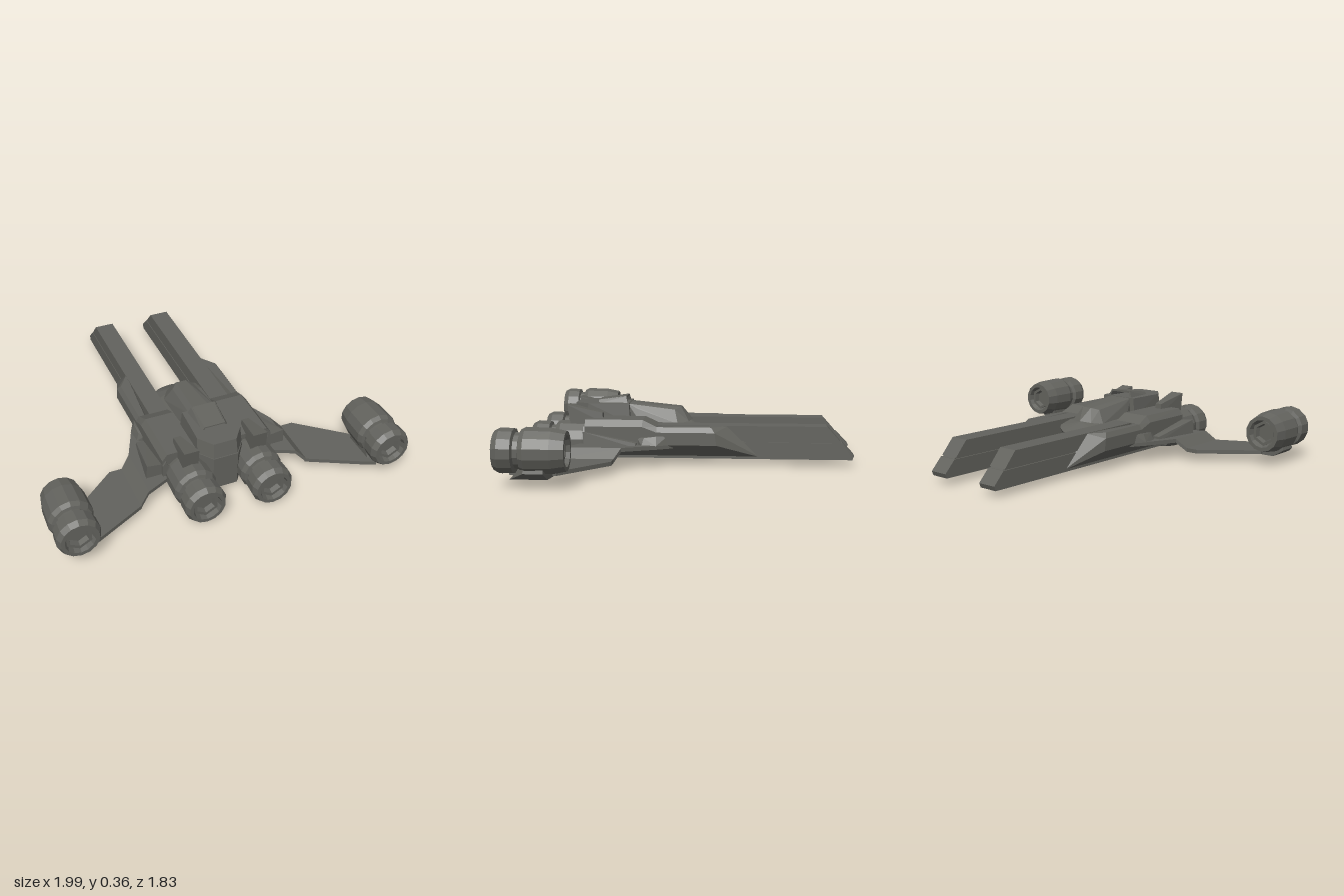
import * as THREE from 'three';
import { ConvexGeometry } from 'three/addons/geometries/ConvexGeometry.js';

const hullGrey = new THREE.MeshStandardMaterial({ color: 0x62625d, flatShading: true });
hullGrey.name = 'hull grey';

// Faceted solid around a few corner points; side = -1 mirrors it across x.
function solid(parent, name, points, side = 1) {
  const pts = points.map(([x, y, z]) => new THREE.Vector3(x * side, y, z));
  const mesh = new THREE.Mesh(new ConvexGeometry(pts), hullGrey);
  mesh.name = name;
  parent.add(mesh);
}

// Adds the mirrored twin of every point across the centre line.
const both = (points) => points.flatMap(([x, y, z]) => [[x, y, z], [-x, y, z]]);

// Side profile [z, y] spread between two x positions.
const slab = (x0, x1, profile) => profile.flatMap(([z, y]) => [[x0, y, z], [x1, y, z]]);

// Plan outline [x, z, top y] given a constant thickness.
const plate = (outline, t = 0.022) => outline.flatMap(([x, z, y]) => [[x, y, z], [x, y - t, z]]);

// Engine body with hexagonal recesses at both ends, running along +z.
function engine(name, x, y, z) {
  const g = new THREE.Group();
  g.name = name;
  const profile = [
    [0, 0.05], [0.062, 0.05], [0.08, 0], [0.102, 0], [0.116, 0.07], [0.12, 0.2],
    [0.108, 0.225], [0.092, 0.23], [0.092, 0.255], [0.113, 0.262], [0.116, 0.33],
    [0.1, 0.36], [0.08, 0.36], [0.068, 0.31], [0, 0.31],
  ].map(([r, h]) => new THREE.Vector2(r, h));
  const body = new THREE.Mesh(new THREE.LatheGeometry(profile, 14), hullGrey);
  body.name = 'engineBody';
  body.rotation.x = Math.PI / 2;
  g.add(body);
  // Hexagonal nozzle and intake liners
  for (const [label, a, b] of [['intakeLiner', 0.052, 0.022], ['nozzleLiner', 0.308, 0.338]]) {
    const rim = [[0.072, a], [0.074, b], [0.056, b], [0.048, a]].map(([r, h]) => new THREE.Vector2(r, h));
    if (b < a) rim.reverse();
    const liner = new THREE.Mesh(new THREE.LatheGeometry(rim, 6), hullGrey);
    liner.name = label;
    liner.rotation.x = Math.PI / 2;
    g.add(liner);
  }
  g.position.set(x, y, z);
  return g;
}

export function createModel() {
  const ship = new THREE.Group();
  ship.name = 'starfighter';

  // Central fuselage, nose towards -z
  solid(ship, 'fuselage', both([
    [0, 0.17, -0.11], [0.06, 0.18, -0.09], [0.1, 0.19, -0.065], [0.13, 0.2, -0.03],
    [0.13, 0.22, 0.05], [0, 0.23, 0], [0.06, 0.06, -0.03], [0.13, 0.06, 0.03], [0.12, 0.045, 0.2],
    [0.13, 0.25, 0.6], [0.07, 0.25, 0.68], [0.13, 0.045, 0.6], [0.07, 0.045, 0.68],
  ]));
  solid(ship, 'rearDeck', both([
    [0.115, 0.335, 0.35], [0.125, 0.335, 0.58], [0.065, 0.335, 0.66],
    [0.125, 0.22, 0.34], [0.13, 0.22, 0.6], [0.07, 0.22, 0.68],
  ]));
  solid(ship, 'bellyPlate', both([
    [0.06, 0.035, 0.23], [0.12, 0.035, 0.3], [0.12, 0.035, 0.58], [0.065, 0.035, 0.66],
    [0.07, 0.06, 0.22], [0.13, 0.06, 0.3], [0.13, 0.06, 0.58], [0.07, 0.06, 0.68],
  ]));

  // Canopy
  solid(ship, 'canopy', both([
    [0, 0.235, -0.01], [0.07, 0.23, 0.01], [0.112, 0.22, 0.07], [0.115, 0.22, 0.28],
    [0.09, 0.22, 0.36], [0.03, 0.308, 0.055], [0.065, 0.295, 0.09], [0.045, 0.335, 0.34],
    [0.09, 0.3, 0.3], [0.08, 0.33, 0.36],
  ]));

  // Open dorsal scoop: a raised roof on two cheeks
  solid(ship, 'scoopRoof', both([
    [0.065, 0.372, 0.37], [0.055, 0.35, 0.53], [0.07, 0.36, 0.37], [0.06, 0.343, 0.53],
  ]));

  for (const s of [1, -1]) {
    const half = new THREE.Group();
    half.name = s > 0 ? 'leftHalf' : 'rightHalf';
    ship.add(half);
    solid(half, 'scoopCheek', [
      [0.09, 0.33, 0.36], [0.075, 0.33, 0.36], [0.07, 0.37, 0.37], [0.06, 0.37, 0.37],
      [0.075, 0.33, 0.53], [0.062, 0.33, 0.53], [0.06, 0.35, 0.53], [0.052, 0.35, 0.53],
    ], s);

    // Long forward prong: two rails around a recessed core
    solid(half, 'prongUpperRail', slab(0.13, 0.24, [
      [-0.77, 0.23], [-0.81, 0.185], [-0.845, 0.145], [0.55, 0.145], [0.55, 0.23],
    ]), s);
    solid(half, 'prongCore', slab(0.138, 0.232, [
      [-0.84, 0.15], [-0.855, 0.13], [0.55, 0.15], [0.55, 0.13],
    ]), s);
    solid(half, 'prongLowerRail', slab(0.13, 0.24, [
      [-0.855, 0.138], [-0.92, 0.07], [-0.91, 0.045], [0.55, 0.045], [0.55, 0.138],
    ]), s);

    // Shoulder beside the prong, bevelled above and below
    solid(half, 'shoulder', [
      [0.235, 0.055, -0.4], [0.24, 0.18, -0.26], [0.235, 0.228, -0.22],
      [0.318, 0.13, -0.16], [0.318, 0.2, -0.15], [0.3, 0.228, -0.13],
      [0.235, 0.055, 0.58], [0.318, 0.13, 0.58], [0.318, 0.2, 0.58], [0.3, 0.228, 0.58],
    ], s);
    // Raised rear deck of the shoulder with a ramp at the front
    solid(half, 'shoulderDeck', [
      [0.13, 0.228, 0.17], [0.3, 0.228, 0.17], [0.318, 0.2, 0.17],
      [0.13, 0.266, 0.25], [0.29, 0.266, 0.25], [0.318, 0.23, 0.25],
      [0.13, 0.266, 0.57], [0.29, 0.266, 0.57], [0.318, 0.23, 0.57],
      [0.13, 0.2, 0.57], [0.318, 0.2, 0.57],
    ], s);

    // Cranked wing in three thin panels
    const wing = new THREE.Group();
    wing.name = 'wing';
    half.add(wing);
    solid(wing, 'wingRoot', plate([
      [0.3, 0.08, 0.132], [0.35, 0.17, 0.132], [0.345, 0.25, 0.132], [0.43, 0.35, 0.132],
      [0.43, 0.66, 0.132], [0.3, 0.6, 0.132],
    ]), s);
    solid(wing, 'wingCrank', plate([
      [0.43, 0.35, 0.132], [0.485, 0.385, 0.08], [0.485, 0.69, 0.08], [0.43, 0.66, 0.132],
    ]), s);
    solid(wing, 'wingOuter', plate([
      [0.48, 0.385, 0.08], [0.555, 0.385, 0.08], [0.77, 0.6, 0.08], [0.84, 0.62, 0.08],
      [0.83, 0.86, 0.08], [0.76, 0.83, 0.08], [0.48, 0.69, 0.08],
    ]), s);
    solid(wing, 'engineMount', [
      [0.8, 0.055, 0.63], [0.9, 0.05, 0.65], [0.96, 0.09, 0.66], [0.8, 0.13, 0.63], [0.95, 0.13, 0.66],
      [0.8, 0.055, 0.83], [0.9, 0.05, 0.84], [0.96, 0.09, 0.76], [0.8, 0.13, 0.78], [0.95, 0.13, 0.76],
    ], s);

    // Wedge fairing on the wing root
    solid(half, 'wingFairing', [
      [0.31, 0.12, 0.28], [0.365, 0.12, 0.28], [0.36, 0.145, 0.28], [0.31, 0.145, 0.28],
      [0.31, 0.12, 0.56], [0.408, 0.12, 0.56], [0.4, 0.212, 0.56], [0.31, 0.2, 0.56],
    ], s);
    solid(half, 'sideBlister', [
      [0.31, 0.13, 0.09], [0.352, 0.13, 0.17], [0.345, 0.13, 0.25], [0.31, 0.13, 0.28],
      [0.31, 0.18, 0.11], [0.33, 0.18, 0.17], [0.33, 0.17, 0.24], [0.31, 0.17, 0.28],
    ], s);

    // Fin over the inner engine
    solid(half, 'engineFin', [
      [0.175, 0.24, 0.48], [0.225, 0.24, 0.48], [0.18, 0.295, 0.485], [0.22, 0.295, 0.485],
      [0.15, 0.22, 0.66], [0.24, 0.22, 0.66], [0.155, 0.34, 0.68], [0.238, 0.34, 0.68],
    ], s);

    half.add(engine('innerEngine', 0.19 * s, 0.128, 0.52));
    half.add(engine('outerEngine', 0.877 * s, 0.192, 0.553));
  }
  return ship;
}
